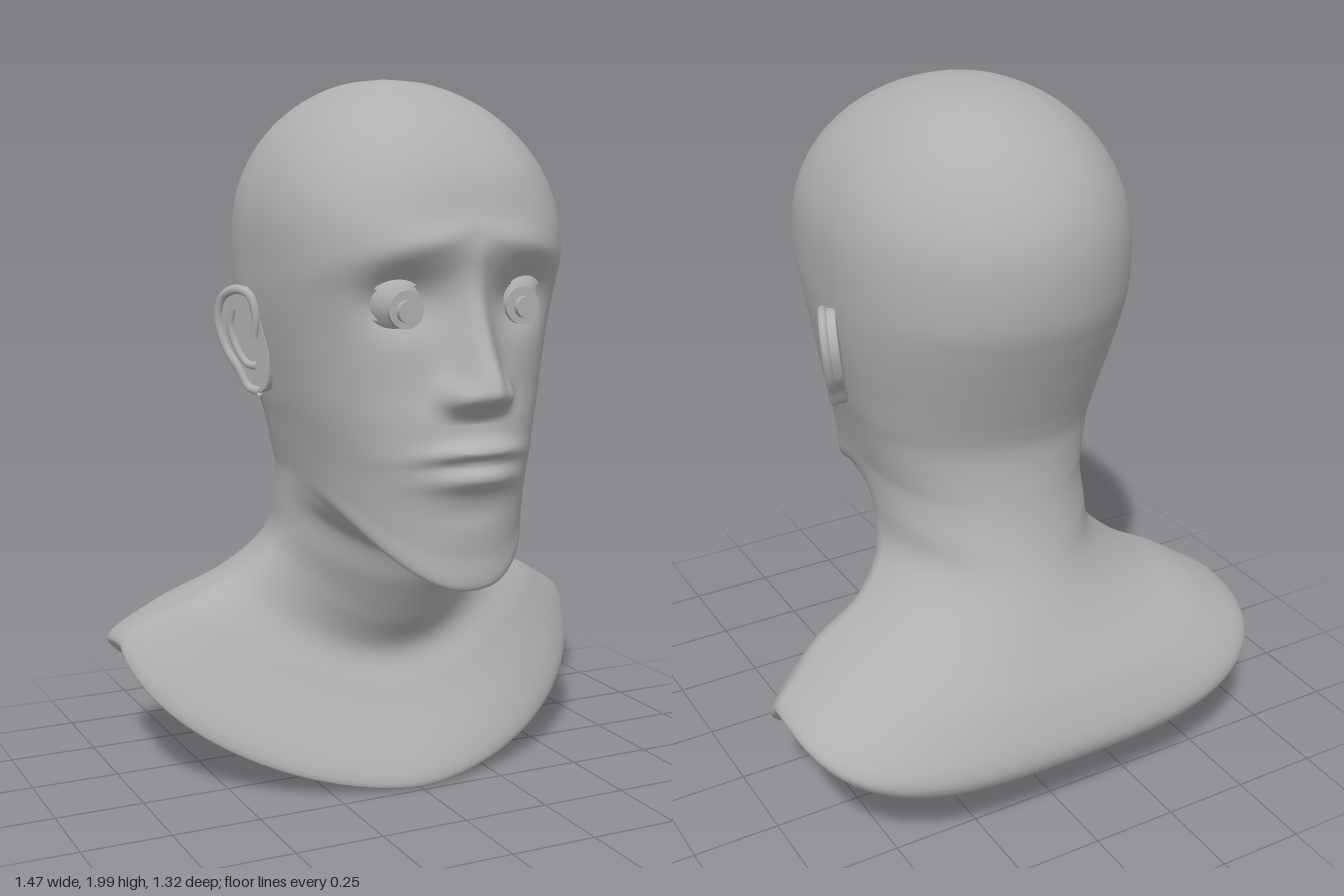
import * as THREE from 'three';

// Face rings from brow to chin: half width, front y, front z, side y, back z
const FACE = [
  [.418, 1.56, .54, 1.47, -.493],
  [.41, 1.46, .515, 1.38, -.465],
  [.395, 1.34, .505, 1.29, -.43],
  [.375, 1.2, .52, 1.2, -.395],
  [.357, 1.1, .55, 1.12, -.365],
  [.34, 1, .56, 1.06, -.35],
  [.325, .88, .545, 1, -.352],
  [.312, .75, .535, .95, -.362],
  [.305, .655, .53, .92, -.37],
];
// Neck and shoulder rings: half width, front y/z, side y/z, back y/z, squareness of the back
const BUST = [
  [.302, .675, .46, .88, -.04, .84, -.38, 2],
  [.302, .705, .26, .82, -.06, .78, -.4, 2],
  [.305, .6, .2, .74, -.07, .7, -.435, 2],
  [.33, .48, .13, .68, -.1, .6, -.49, 2.2],
  [.42, .37, .07, .595, -.15, .5, -.55, 2.6],
  [.6, .25, .12, .5, -.2, .4, -.61, 3.1],
  [.735, .015, .235, .4, -.24, .26, -.655, 3.3],
  [.705, .01, .19, .365, -.24, .195, -.61, 3.3],
  [.35, .09, .03, .22, -.2, .185, -.4, 2.6],
];
const COLS = 144, STEPS = 9;

// All rings from crown to underside; the crown is an ellipsoid dome, the underside closes to a point
function allRings() {
  const rings = [];
  for (let i = 0; i < 6; i++) {
    const a = .002 + i * .286, s = Math.sin(a), y = 1.58 + .42 * Math.cos(a);
    rings.push({ w: .42 * s, yf: y, zf: -.02 + .545 * s, ys: y, zs: -.02, yb: y, zb: -.02 - .48 * s, pf: 2 + .13 * i, pb: 2 });
  }
  for (const [w, yf, zf, ys, zb] of FACE) {
    const yb = ys - .3 * Math.max(0, 1.06 - ys), pf = THREE.MathUtils.clamp(2.2 + 1.2 * (ys - 1), 2.2, 2.7);
    rings.push({ w, yf, zf, ys, zs: -.03, yb, zb, pf, pb: 2 });
  }
  for (const [w, yf, zf, ys, zs, yb, zb, pb] of BUST) rings.push({ w, yf, zf, ys, zs, yb, zb, pf: yf < .3 ? 1.72 : 2, pb });
  rings.push({ w: .001, yf: .18, zf: -.149, ys: .18, zs: -.15, yb: .18, zb: -.151, pf: 2, pb: 2 });
  return rings;
}

function ringPoint({ w, yf, zf, ys, zs, yb, zb, pf, pb }, angle) {
  const s = Math.sin(angle), c = Math.cos(angle), p = c > 0 ? pf : pb;
  const r = (Math.abs(s) ** p + Math.abs(c) ** p) ** (-1 / p);
  const k = Math.abs(c) * r, power = yf < .2 && c > 0 ? .9 : 2;
  const [y, z] = c > 0 ? [yf, zf] : [yb, zb];
  return new THREE.Vector3(w * s * r, ys + (y - ys) * k ** power, zs + (z - zs) * k);
}

const bump = (x, y, cx, cy, sx, sy) => Math.exp(-(((x - cx) / sx) ** 2) - ((y - cy) / sy) ** 2);

// Nose height at falling y
const NOSE = [[1.58, 0], [1.5, .018], [1.43, .04], [1.3, .098], [1.22, .14], [1.185, .143], [1.165, .115], [1.14, .05], [1.11, 0]];
function noseHeight(y) {
  for (let i = 1; i < NOSE.length; i++) {
    const [y0, a] = NOSE[i - 1], [y1, b] = NOSE[i];
    if (y <= y0 && y >= y1) return THREE.MathUtils.lerp(a, b, (y0 - y) / (y0 - y1));
  }
  return 0;
}

// Forward relief of nose, sockets, brow, cheeks and lips
function faceRelief(x, y) {
  const ax = Math.abs(x), m = y + .6 * ax * ax;
  const noseWidth = .035 + .03 * THREE.MathUtils.clamp((1.5 - y) / .3, 0, 1);
  let d = noseHeight(y) * Math.exp(-((ax / noseWidth) ** 2));
  d += .05 * bump(ax, y, .07, 1.175, .032, .035);
  d -= .06 * bump(ax, y, .175, 1.42, .09, .075);
  d += .01 * bump(ax, y + .25 * ax, .13, 1.6, .13, .035);
  d -= .015 * bump(ax, y, .24, 1.08, .09, .12);
  d += .044 * bump(ax, m, 0, 1.033, .125, .022);
  d += .036 * bump(ax, m, 0, .96, .115, .028);
  d -= .006 * bump(ax, m, 0, 1.0, .13, .01);
  d -= .008 * bump(ax, y, 0, .87, .1, .035);
  return d;
}

function bustGeometry() {
  const rings = allRings(), rows = (rings.length - 1) * STEPS, pos = [], index = [];
  const curves = Array.from({ length: COLS }, (_, j) =>
    new THREE.CatmullRomCurve3(rings.map(r => ringPoint(r, j / COLS * Math.PI * 2)), false, 'centripetal'));
  for (let i = 0; i <= rows; i++) {
    for (let j = 0; j < COLS; j++) {
      const p = curves[j].getPoint(i / rows);
      if (p.y > .75 && i < 14 * STEPS) p.z += faceRelief(p.x, p.y) * THREE.MathUtils.smoothstep(p.z, .1, .35);
      pos.push(p.x, p.y, p.z);
      if (i === rows) continue;
      const a = i * COLS + j, c = i * COLS + (j + 1) % COLS;
      index.push(a, a + COLS, c, c, a + COLS, c + COLS);
    }
  }
  const g = new THREE.BufferGeometry();
  g.setAttribute('position', new THREE.Float32BufferAttribute(pos, 3));
  g.setIndex(index);
  g.computeVertexNormals();
  return g;
}

export function createModel() {
  const model = new THREE.Group();
  model.name = 'headBust';
  const clay = new THREE.MeshStandardMaterial({ color: 0xb0b0b0, side: THREE.DoubleSide });
  clay.name = 'grey clay';
  const add = (parent, name, geometry, x = 0, y = 0, z = 0) => {
    const mesh = new THREE.Mesh(geometry, clay);
    mesh.name = name;
    mesh.position.set(x, y, z);
    parent.add(mesh);
    return mesh;
  };

  add(model, 'headNeckAndShoulders', bustGeometry());

  // Ear outline: x runs backward, y up
  const outline = [[.01, .07], [.03, .125], [.08, .142], [.135, .12], [.16, .06], [.142, -.02], [.1, -.08],
    [.07, -.13], [.03, -.142], [0, -.11], [-.01, -.02]];
  const earShape = new THREE.Shape();
  earShape.moveTo(...outline[0]);
  earShape.splineThru([...outline.slice(1), outline[0]].map(p => new THREE.Vector2(...p)));
  const earPlate = new THREE.ExtrudeGeometry(earShape,
    { depth: .024, bevelSize: .004, bevelThickness: .006, bevelSegments: 3, curveSegments: 5 });
  const tube = (pts, r) => new THREE.TubeGeometry(
    new THREE.CatmullRomCurve3(pts.map(([x, y]) => new THREE.Vector3(x, y, .016))), 40, r, 8);
  const helix = tube([[.03, .01], [.015, .07], ...outline.slice(1, 9)], .013);
  const innerFold = tube([[.1, .09], [.115, .04], [.1, -.02], [.065, -.065], [.03, -.07]], .011);

  for (const side of [1, -1]) {
    const half = new THREE.Group();
    half.name = side > 0 ? 'leftFeatures' : 'rightFeatures';
    half.scale.x = side;
    model.add(half);

    const ear = new THREE.Group();
    ear.name = 'ear';
    ear.position.set(.384, 1.29, .045);
    ear.rotation.set(0, 1.13, -.1, 'ZYX');
    half.add(ear);
    add(ear, 'earPlate', earPlate, 0, 0, -.014);
    add(ear, 'earRim', helix);
    add(ear, 'earInnerFold', innerFold);

    // Eyeball with raised iris and pupil, framed by two lids
    const eye = new THREE.Group();
    eye.name = 'eye';
    eye.position.set(.169, 1.415, .388);
    half.add(eye);
    add(eye, 'eyeball', new THREE.SphereGeometry(.085, 32, 20));
    const disc = (r, h) => new THREE.CylinderGeometry(r, r, h, 28).rotateX(Math.PI / 2);
    add(eye, 'iris', disc(.05, .02), .002, -.018, .078);
    add(eye, 'pupil', disc(.029, .02), .004, -.022, .096);
    const lid = new THREE.SphereGeometry(.094, 32, 8, 0, Math.PI * 2, 0, Math.PI * .33);
    add(eye, 'upperLid', lid).rotation.set(.12, 0, -.12);
    add(eye, 'lowerLid', lid).rotation.set(Math.PI - .05, 0, 0);
  }
  return model;
}
